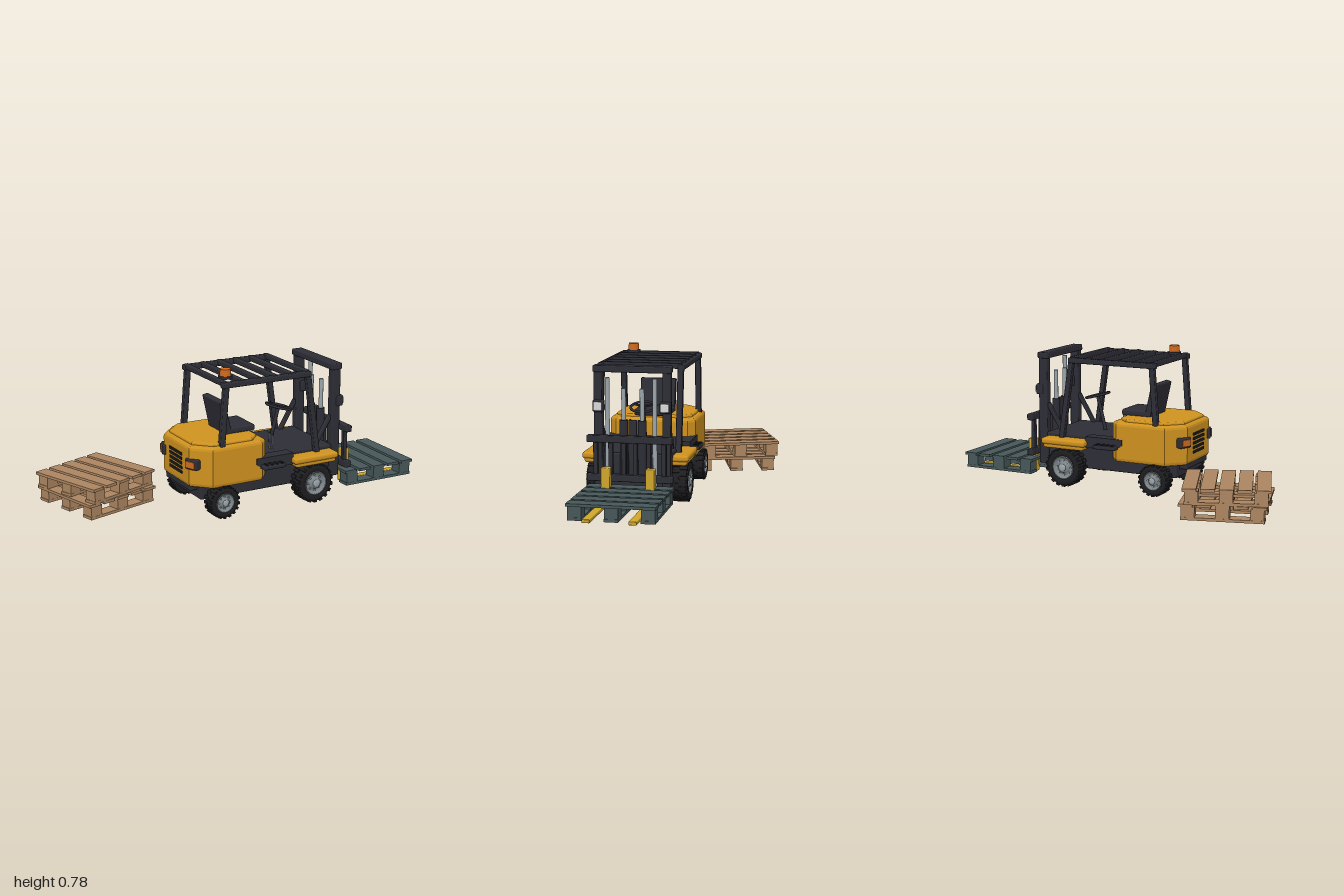
import * as THREE from 'three';
import { RoundedBoxGeometry } from 'three/addons/geometries/RoundedBoxGeometry.js';

const mat = (name, color) => {
  const m = new THREE.MeshStandardMaterial({ color });
  m.name = name;
  return m;
};

export function createModel() {
  const yellow = mat('body yellow', 0xcf921f), forkYellow = mat('fork yellow', 0xcfa62b);
  const dark = mat('dark frame', 0x2d2d36), black = mat('tyre black', 0x1e1e21);
  const teal = mat('teal pallet', 0x475759), wood = mat('wood', 0xab8560);
  const silver = mat('silver', 0x9ba6ab), rim = mat('rim grey', 0x7e868a);
  const orange = mat('lamp orange', 0xd0691e), white = mat('lamp white', 0xd8d8d8);

  const root = new THREE.Group();
  const truck = new THREE.Group();
  truck.name = 'forklift';
  truck.position.z = 0.17;
  root.add(truck);

  const add = (name, geo, m, x = 0, y = 0, z = 0, parent = truck) => {
    const mesh = new THREE.Mesh(geo, m);
    mesh.name = name;
    mesh.position.set(x, y, z);
    parent.add(mesh);
    return mesh;
  };
  // Box given by its extents; r > 0 rounds the edges
  const box = (name, m, x0, x1, y0, y1, z0, z1, r = 0, parent = truck) => {
    const w = x1 - x0, h = y1 - y0, d = z1 - z0;
    const geo = r ? new RoundedBoxGeometry(w, h, d, 2, r) : new THREE.BoxGeometry(w, h, d);
    return add(name, geo, m, (x0 + x1) / 2, (y0 + y1) / 2, (z0 + z1) / 2, parent);
  };
  // The same box on the left and right
  const pair = (name, m, x0, x1, y0, y1, z0, z1, r = 0) => {
    box(name, m, x0, x1, y0, y1, z0, z1, r);
    box(name, m, x0, x1, y0, y1, -z1, -z0, r);
  };
  // Bar between two points
  const bar = (name, m, a, b, w, d, round = false) => {
    const p = new THREE.Vector3(...a), q = new THREE.Vector3(...b);
    const dir = q.clone().sub(p), len = dir.length();
    const geo = round ? new THREE.CylinderGeometry(w / 2, w / 2, len, 12) : new RoundedBoxGeometry(w, len, d, 2, 0.005);
    const mesh = add(name, geo, m, ...p.add(q).multiplyScalar(0.5).toArray());
    mesh.quaternion.setFromUnitVectors(new THREE.Vector3(0, 1, 0), dir.normalize());
    return mesh;
  };
  // Chamfered plan outline extruded upwards with a soft bevel
  const slab = (name, m, x0, x1, hw, rear, front, y0, y1, bevel) => {
    const b = bevel, h = hw - b, l = x0 + b, r = x1 - b;
    const shape = new THREE.Shape([[l, -h + rear], [l + rear, -h], [r - front, -h], [r, -h + front],
      [r, h - front], [r - front, h], [l + rear, h], [l, h - rear]].map(p => new THREE.Vector2(...p)));
    const geo = new THREE.ExtrudeGeometry(shape, { depth: y1 - y0 - 2 * b, bevelEnabled: true,
      bevelSize: b, bevelThickness: b, bevelSegments: 3 });
    geo.rotateX(-Math.PI / 2);
    return add(name, geo, m, 0, y0 + b, 0);
  };

  // Chassis, floor and rear body
  box('chassis', dark, -0.34, 0.47, 0.1, 0.28, -0.18, 0.18, 0.01);
  box('floor', dark, 0.0, 0.455, 0.25, 0.295, -0.205, 0.205, 0.01);
  slab('counterweight', yellow, -0.39, 0.035, 0.24, 0.08, 0.025, 0.17, 0.395, 0.022);
  slab('bodyLid', yellow, -0.365, 0.005, 0.215, 0.08, 0.05, 0.375, 0.41, 0.01);
  box('rearBumper', dark, -0.385, -0.32, 0.145, 0.19, -0.14, 0.14, 0.01);

  // Rear grille and tail lights
  for (let i = 0; i < 5; i++) box('grilleSlat', black, -0.396, -0.385, 0.225 + i * 0.025, 0.239 + i * 0.025, -0.07, 0.07);
  for (const s of [-1, 1]) {
    const lamp = new THREE.Group();
    lamp.name = 'tailLight';
    lamp.position.set(-0.375, 0.3, s * 0.16);
    lamp.rotation.y = s * 0.4;
    truck.add(lamp);
    box('tailLightHousing', dark, -0.02, 0.02, -0.028, 0.028, -0.04, 0.04, 0.008, lamp);
    box('tailLightLens', orange, -0.026, -0.018, -0.018, 0.018, -0.03, 0.03, 0, lamp);
  }

  // Front fenders
  pair('fenderTop', yellow, 0.175, 0.45, 0.24, 0.275, 0.16, 0.285, 0.014);
  pair('fenderSide', yellow, 0.19, 0.44, 0.218, 0.255, 0.17, 0.275, 0.012);

  // Side steps
  const stepShape = new THREE.Shape([[-0.04, 0.298], [-0.04, 0.265], [0.005, 0.235], [0.185, 0.235], [0.185, 0.298]]
    .map(p => new THREE.Vector2(...p)));
  for (const s of [-1, 1]) {
    add('stepPanel', new THREE.ExtrudeGeometry(stepShape, { depth: 0.07, bevelEnabled: false }), dark, 0, 0, s > 0 ? 0.175 : -0.245);
  }
  pair('stepTread', dark, -0.015, 0.12, 0.24, 0.262, 0.22, 0.285, 0.007);
  for (let i = 0; i < 4; i++) pair('stepGrip', black, 0.003 + i * 0.03, 0.015 + i * 0.03, 0.26, 0.267, 0.235, 0.278);

  // Wheels: lathed tyre with tread lugs, rim and hub
  const wheel = (name, x, r, s, inner, outer) => {
    const g = new THREE.Group(), w = (outer - inner) / 2;
    g.name = name;
    g.position.set(x, r + 0.003, s * (inner + outer) / 2);
    g.rotation.x = s * Math.PI / 2;
    truck.add(g);
    const lathe = (label, m, pts) => add(label, new THREE.LatheGeometry(pts.map(p => new THREE.Vector2(p[0] * r, p[1] * w)), 32), m, 0, 0, 0, g);
    lathe('tyre', black, [[0, -0.9], [0.6, -0.95], [0.85, -0.95], [0.95, -0.7], [0.97, 0], [0.95, 0.7], [0.85, 0.95], [0.62, 0.95], [0.57, 0.7]]);
    lathe('rim', rim, [[0.6, 0.6], [0.6, 0.92], [0.54, 0.92], [0.46, 0.6], [0.3, 0.6], [0.26, 0.95], [0, 0.95]]);
    lathe('hub', silver, [[0.18, 0.9], [0.18, 1.08], [0.12, 1.14], [0, 1.14]]);
    for (let i = 0; i < 8; i++) {
      const a = i * Math.PI / 4;
      add('wheelNut', new THREE.CylinderGeometry(r * 0.05, r * 0.05, 0.01, 6), silver, Math.cos(a) * r * 0.38, w * 0.64, Math.sin(a) * r * 0.38, g);
    }
    for (let i = 0; i < 36; i++) {
      const a = i * Math.PI / 18, up = i % 2 ? 1 : -1;
      const lug = add('treadLug', new THREE.BoxGeometry(r * 0.1, w * 0.85, r * 0.17), black, Math.cos(a) * r * 0.95, up * w * 0.45, Math.sin(a) * r * 0.95, g);
      lug.rotation.y = -a;
    }
  };
  for (const s of [-1, 1]) {
    wheel('frontWheel', 0.315, 0.11, s, 0.18, 0.275);
    wheel('rearWheel', -0.233, 0.088, s, 0.175, 0.26);
  }

  // Overhead guard
  for (const s of [-1, 1]) {
    bar('rearPost', dark, [-0.235, 0.38, s * 0.215], [-0.208, 0.72, s * 0.215], 0.03, 0.032);
    bar('frontPost', dark, [0.35, 0.26, s * 0.215], [0.283, 0.72, s * 0.215], 0.03, 0.032);
  }
  pair('roofRail', dark, -0.235, 0.3, 0.7, 0.73, 0.2, 0.235, 0.007);
  for (let i = 0; i < 6; i++) {
    const x = -0.215 + i * 0.099;
    box('roofBar', dark, x - 0.014, x + 0.014, 0.707, 0.736, -0.222, 0.222, 0.006);
  }

  // Beacon
  add('beaconBase', new THREE.CylinderGeometry(0.037, 0.037, 0.014, 20), dark, -0.175, 0.74, 0.147);
  add('beacon', new THREE.CylinderGeometry(0.028, 0.03, 0.036, 20), orange, -0.175, 0.765, 0.147);

  // Seat
  box('seatCushion', dark, -0.14, 0.035, 0.405, 0.443, -0.1, 0.1, 0.014);
  bar('seatBack', dark, [-0.125, 0.41, 0], [-0.165, 0.59, 0], 0.034, 0.2);

  // Steering and controls
  bar('steeringColumn', dark, [0.185, 0.29, 0], [0.237, 0.49, 0], 0.02, 0, true);
  const steering = new THREE.Group();
  steering.name = 'steeringWheel';
  steering.position.set(0.235, 0.49, 0);
  steering.rotation.z = -0.26;
  truck.add(steering);
  add('steeringRim', new THREE.TorusGeometry(0.068, 0.007, 8, 28).rotateX(Math.PI / 2), dark, 0, 0, 0, steering);
  for (let i = 0; i < 3; i++) {
    add('steeringSpoke', new THREE.BoxGeometry(0.068, 0.007, 0.012).translate(0.034, 0, 0), dark, 0, 0, 0, steering).rotation.y = i * Math.PI * 2 / 3;
  }
  for (const z of [0.1, 0.13]) {
    bar('lever', silver, [0.125, 0.29, z], [0.12, 0.385, z], 0.007, 0, true);
    add('leverKnob', new THREE.SphereGeometry(0.01, 10, 8), dark, 0.12, 0.39, z);
  }

  // Mast with hydraulic rams and braces
  pair('mastRail', dark, 0.452, 0.505, 0.11, 0.735, 0.16, 0.203, 0.006);
  box('mastTop', dark, 0.445, 0.51, 0.71, 0.745, -0.207, 0.207, 0.007);
  box('mastFoot', dark, 0.455, 0.5, 0.11, 0.17, -0.19, 0.19, 0.006);
  box('mastCentre', dark, 0.465, 0.495, 0.12, 0.46, -0.022, 0.022, 0.006);
  for (const s of [-1, 1]) {
    bar('mastBrace', dark, [0.35, 0.28, s * 0.18], [0.455, 0.455, s * 0.18], 0.022, 0.025);
    bar('outerRam', silver, [0.52, 0.12, s * 0.125], [0.52, 0.685, s * 0.125], 0.024, 0, true);
    bar('ramCylinder', dark, [0.48, 0.12, s * 0.049], [0.48, 0.46, s * 0.049], 0.044, 0, true);
    bar('innerRam', silver, [0.48, 0.45, s * 0.049], [0.48, 0.625, s * 0.049], 0.024, 0, true);
  }

  // Headlights
  pair('headlightHousing', dark, 0.475, 0.524, 0.503, 0.565, 0.148, 0.206, 0.01);
  pair('headlightLens', white, 0.515, 0.53, 0.512, 0.556, 0.155, 0.199, 0.006);

  // Carriage and forks
  for (const y of [0.15, 0.353]) box('carriageBar', dark, 0.535, 0.572, y, y + 0.037, -0.226, 0.226, 0.006);
  for (const z of [0.03, 0.1, 0.18]) pair('carriageUpright', dark, 0.54, 0.565, 0.155, 0.385, z - 0.012, z + 0.012, 0.004);
  pair('forkShank', forkYellow, 0.57, 0.615, 0.037, 0.23, 0.094, 0.141, 0.005);
  pair('forkBlade', forkYellow, 0.575, 1.0, 0.037, 0.056, 0.097, 0.138, 0.004);

  // Pallets: five top slats, nine blocks, three base boards
  const pallet = (name, m, x, y, z, turn, h) => {
    const g = new THREE.Group();
    g.name = name;
    g.position.set(x, y, z);
    g.rotation.y = turn;
    root.add(g);
    for (let i = -2; i <= 2; i++) box('topSlat', m, i * 0.0945 - 0.037, i * 0.0945 + 0.037, h - 0.015, h, -0.226, 0.226, 0, g);
    for (let i = -1; i <= 1; i++) {
      box('baseBoard', m, -0.215, 0.215, 0, 0.015, i * 0.185 - 0.036, i * 0.185 + 0.036, 0, g);
      for (let j = -1; j <= 1; j++) {
        box('block', m, j * 0.177 - 0.035, j * 0.177 + 0.035, 0.014, h - 0.014, i * 0.185 - 0.035, i * 0.185 + 0.035, 0, g);
      }
    }
  };
  pallet('loadedPallet', teal, 0.766, 0.042, 0.165, 0, 0.087);
  pallet('lowerPallet', wood, -0.706, 0, -0.168, 0.27, 0.085);
  pallet('upperPallet', wood, -0.709, 0.085, -0.174, 0.355, 0.085);
  return root;
}
